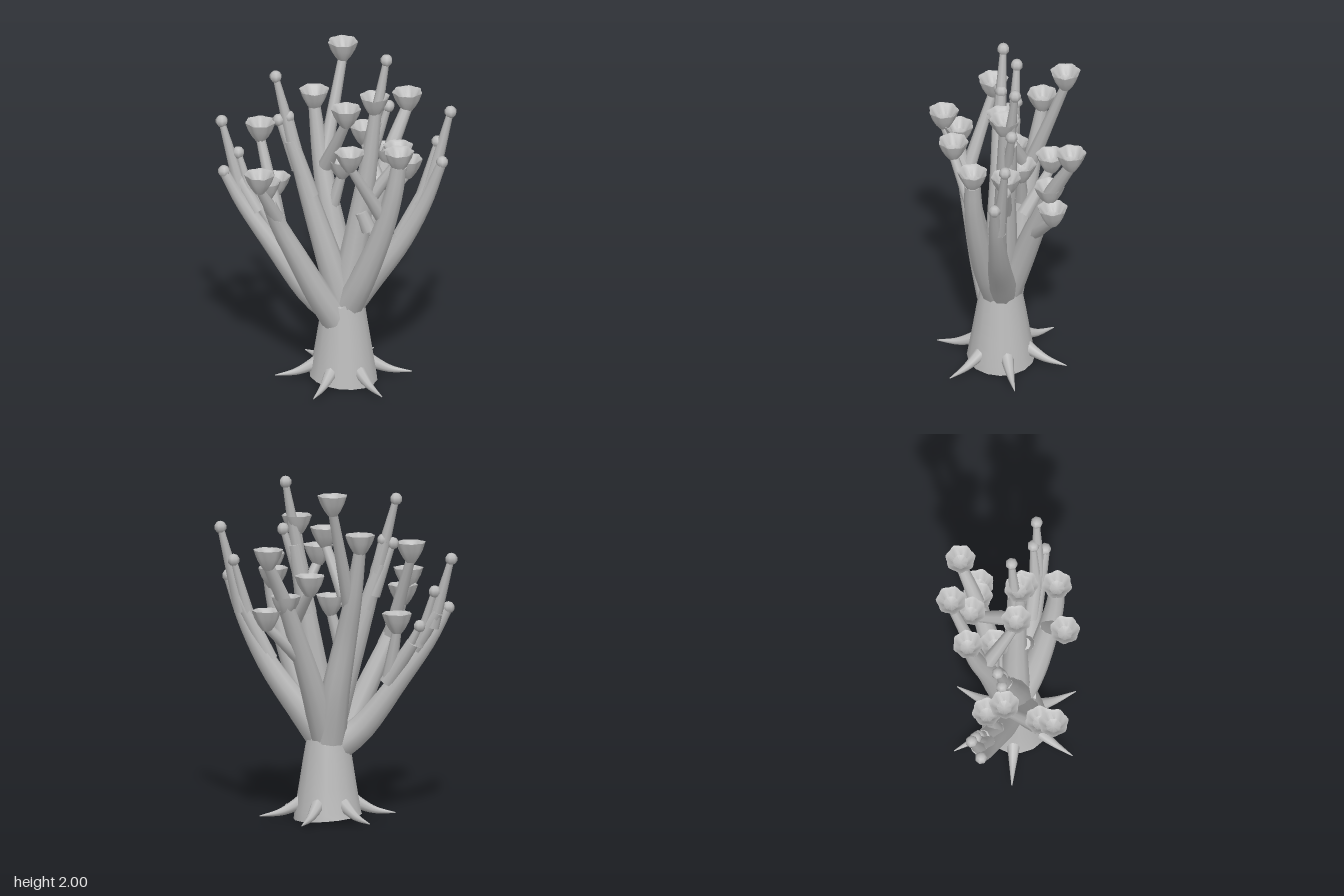
import * as THREE from 'three';
import { mergeGeometries, mergeVertices, toCreasedNormals } from 'three/addons/utils/BufferGeometryUtils.js';

const V = (p) => new THREE.Vector3(...p);

export function createModel() {
  const group = new THREE.Group();
  const grey = new THREE.MeshStandardMaterial({ color: 0xbababa, side: THREE.DoubleSide });
  grey.name = 'plain grey';

  const add = (name, geo, at = [0, 0, 0]) => {
    const mesh = new THREE.Mesh(geo, grey);
    mesh.name = name;
    mesh.position.set(...at);
    group.add(mesh);
    return mesh;
  };

  // Tapered round tube through points, closed by a flat disc at each end
  const taper = (name, pts, r0, r1, sides = 10) => {
    const curve = new THREE.CatmullRomCurve3(pts.map(V));
    const rings = pts.length > 2 ? 14 : 3;
    const tube = new THREE.TubeGeometry(curve, rings, 1, sides);
    const pos = tube.attributes.position, nor = tube.attributes.normal;
    for (let i = 0; i < pos.count; i++) {
      const u = Math.floor(i / (sides + 1)) / rings;
      const c = curve.getPointAt(u);
      const r = r0 + (r1 - r0) * u;
      pos.setXYZ(i, c.x + nor.getX(i) * r, c.y + nor.getY(i) * r, c.z + nor.getZ(i) * r);
    }
    const cap = (u, r, sign) => {
      const disc = new THREE.CircleGeometry(r, sides);
      const out = curve.getTangentAt(u).multiplyScalar(sign);
      disc.applyQuaternion(new THREE.Quaternion().setFromUnitVectors(V([0, 0, 1]), out));
      return disc.translate(...curve.getPointAt(u).toArray());
    };
    return add(name, mergeGeometries([tube, cap(0, r0, -1), cap(1, r1, 1)]));
  };

  // Trunk: flared, with a zigzag upper rim and a slightly tilted foot
  const profile = [[0, 0.02], [0.15, 0.015], [0.195, 0.01], [0.188, 0.06], [0.165, 0.2], [0.14, 0.36], [0.118, 0.5], [0, 0.53]];
  const trunk = new THREE.LatheGeometry(profile.map((p) => new THREE.Vector2(...p)), 16);
  const tp = trunk.attributes.position;
  for (let i = 0; i < tp.count; i++) {
    const ring = i % profile.length, seg = Math.floor(i / profile.length);
    if (ring === 6) tp.setY(i, 0.5 + (seg % 2 ? 0.015 : -0.015));
    if (ring < 3) tp.setY(i, tp.getY(i) + 0.01 - tp.getX(i) * 0.08);
  }
  trunk.deleteAttribute('uv');
  trunk.deleteAttribute('normal');
  add('trunk', toCreasedNormals(mergeVertices(trunk), 0.8), [0.05, 0, 0.035]);

  // Six thorn roots around the foot
  for (let i = 0; i < 6; i++) {
    const a = THREE.MathUtils.degToRad(-12 + i * 60);
    const at = (r, y) => [0.05 + Math.cos(a) * r, y, 0.03 + Math.sin(a) * r];
    taper('thornRoot', [at(0.13, 0.12), at(0.19, 0.085), at(0.27, 0.05), at(0.39, 0.03)], 0.044, 0.003, 8);
  }

  // Main limbs: path, start radius, end radius
  const limbs = [
    [[[0.03, 0.4, 0.03], [-0.13, 0.52, 0.03], [-0.36, 0.815, 0.02], [-0.54, 1.06, 0.01], [-0.64, 1.24, 0.01]], 0.09, 0.028],
    [[[0.08, 0.47, 0.03], [0.19, 0.62, 0.03], [0.38, 0.88, 0.04], [0.52, 1.14, 0.05], [0.62, 1.4, 0.06]], 0.09, 0.028],
    [[[0.01, 0.4, 0.09], [-0.08, 0.57, 0.14], [-0.21, 0.85, 0.205], [-0.295, 1.04, 0.25], [-0.34, 1.18, 0.29]], 0.085, 0.04],
    [[[0.05, 0.47, 0.04], [-0.03, 0.75, 0.05], [-0.13, 1.08, 0.05], [-0.21, 1.36, 0.05], [-0.265, 1.62, 0.04]], 0.09, 0.026],
    [[[0.05, 0.47, 0.03], [0.1, 0.75, 0.02], [0.155, 1.1, 0.01], [0.2, 1.4, 0.01], [0.232, 1.68, 0.01]], 0.095, 0.034],
    [[[0.08, 0.47, 0.06], [0.17, 0.66, 0.11], [0.29, 0.98, 0.16], [0.36, 1.24, 0.185], [0.39, 1.42, 0.19]], 0.085, 0.046],
    [[[0.06, 0.47, 0], [0.12, 0.75, -0.09], [0.2, 1.05, -0.18], [0.28, 1.32, -0.27], [0.36, 1.54, -0.37]], 0.085, 0.032],
    [[[0.04, 0.47, 0], [0.0, 0.75, -0.06], [-0.06, 1.06, -0.1], [-0.11, 1.32, -0.15], [-0.15, 1.6, -0.195]], 0.098, 0.034],
  ];
  limbs.forEach(([path, r0, r1]) => taper('limb', path, r0, r1));
  add('limbSwelling', new THREE.SphereGeometry(0.085, 12, 8), [0.02, 0.43, 0.07]);

  // Bulb-tipped twigs: start, tip, start radius
  const bulb = new THREE.SphereGeometry(0.036, 7, 5);
  const bulbTwigs = [
    [[-0.55, 1.13, -0.02], [-0.66, 1.53, -0.04], 0.04],
    [[-0.47, 1.02, -0.01], [-0.565, 1.34, -0.04], 0.036],
    [[-0.38, 0.94, -0.02], [-0.48, 1.14, -0.045], 0.034],
    [[0.54, 1.2, 0.04], [0.66, 1.69, 0], 0.045],
    [[0.49, 1.12, 0.04], [0.585, 1.5, 0], 0.042],
    [[-0.23, 1.43, 0.05], [-0.34, 1.86, 0.03], 0.042],
    [[-0.21, 1.3, 0.04], [-0.32, 1.6, 0.05], 0.04],
    [[0.2, 1.45, 0], [0.285, 1.965, -0.05], 0.045],
    [[0.19, 1.35, 0], [0.3, 1.69, -0.03], 0.04],
  ];
  for (const [from, tip, r] of bulbTwigs) {
    taper('twig', [from, tip], r, 0.018, 8);
    add('bulb', bulb, tip);
  }
  for (const limb of limbs.filter((_, i) => [0, 1, 3].includes(i))) {
    add('bulb', bulb, limb[0][4]);
  }

  // Thick sleeves from which the twigs emerge
  const sleeves = [
    [[-0.29, 0.8, 0.01], [-0.44, 1.04, -0.03], 0.046, 0.038],
    [[-0.45, 1.0, 0], [-0.58, 1.22, -0.03], 0.042, 0.034],
    [[0.38, 0.92, 0.04], [0.565, 1.3, 0.03], 0.046, 0.036],
    [[-0.14, 1.14, 0.05], [-0.25, 1.48, 0.05], 0.052, 0.04],
    [[0.165, 1.2, 0], [0.235, 1.6, -0.02], 0.056, 0.04],
    [[0.2, 0.95, 0.06], [0.155, 1.06, 0.06], 0.045, 0.036],
  ];
  sleeves.forEach(([a, b, r0, r1]) => taper('sleeve', [a, b], r0, r1));

  // Scalloped cup with a hollow top
  const cupProfile = [[0, 0], [0.026, 0], [0.047, 0.03], [0.068, 0.072], [0.083, 0.117], [0.068, 0.108], [0.042, 0.065], [0, 0.05]];
  const cup = new THREE.LatheGeometry(cupProfile.map((p) => new THREE.Vector2(...p)), 28);
  const cp = cup.attributes.position;
  for (let i = 0; i < cp.count; i++) {
    const x = cp.getX(i), z = cp.getZ(i), r = Math.hypot(x, z);
    const s = 1 + 0.06 * Math.cos(7 * Math.atan2(z, x)) * Math.min(1, r / 0.07);
    cp.setXYZ(i, x * s, cp.getY(i), z * s);
  }
  cup.deleteAttribute('uv');
  cup.deleteAttribute('normal');
  const cupGeo = toCreasedNormals(mergeVertices(cup), 0.7);

  // Cups: rim centre, then the start of the stalk (none where a limb ends there)
  const cups = [
    [[-0.005, 1.94, -0.33], [-0.09, 1.25, -0.13]],
    [[-0.15, 1.69, -0.195]],
    [[0.065, 1.69, 0.035], [-0.07, 1.27, -0.09]],
    [[0.225, 1.765, 0.01]],
    [[0.36, 1.63, -0.37]],
    [[0.39, 1.51, 0.19]],
    [[0.125, 1.54, 0.305], [0.29, 1.08, 0.16]],
    [[0.13, 1.46, -0.25], [0.25, 1.13, -0.1]],
    [[0.27, 1.34, -0.245], [0.19, 0.98, -0.15]],
    [[0.375, 1.26, -0.265], [0.18, 0.95, -0.15]],
    [[0.36, 1.46, 0], [0.17, 1.08, 0.01]],
    [[-0.42, 1.6, 0.09], [-0.29, 1.03, 0.24]],
    [[-0.36, 1.32, 0.285], [-0.26, 0.98, 0.23]],
    [[-0.385, 1.4, 0.37], [-0.3, 1.08, 0.26]],
    [[-0.35, 1.21, -0.03], [-0.3, 0.82, 0.01]],
    [[0.025, 1.32, -0.08], [-0.04, 1.0, -0.08]],
  ];
  cups.forEach(([[x, y, z], from], i) => {
    const mesh = add('cup', cupGeo, [x, y - 0.117, z]);
    mesh.rotation.y = i * 0.4;
    if (from) taper('stalk', [from, [x, y - 0.095, z]], 0.043, 0.026, 8);
  });

  return group;
}
